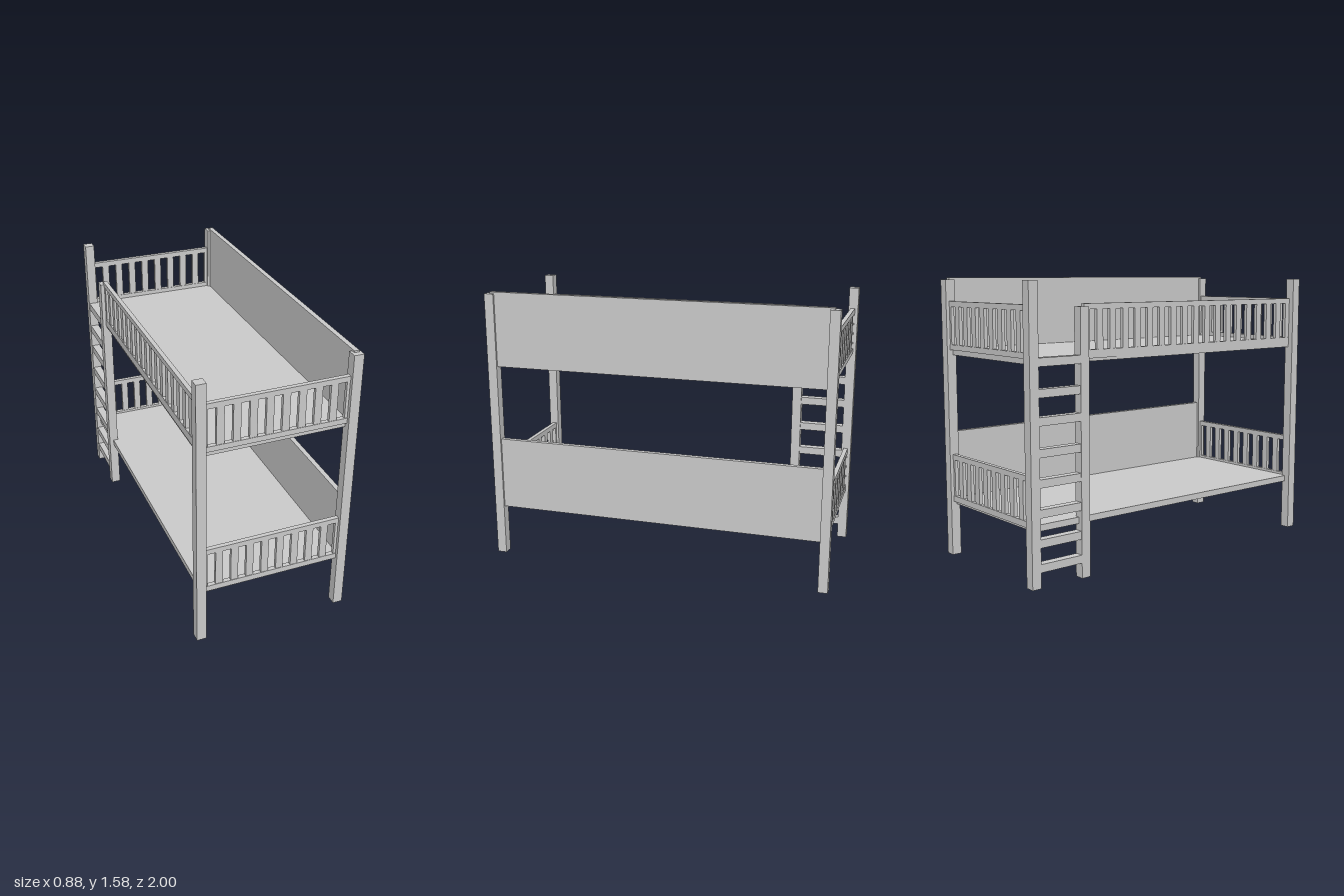
import * as THREE from 'three';

const material = new THREE.MeshStandardMaterial({ color: 0xcccccc, flatShading: true });

// Box given by its min and max along each axis
function box(parent, name, [x0, x1], [y0, y1], [z0, z1]) {
  const mesh = new THREE.Mesh(new THREE.BoxGeometry(x1 - x0, y1 - y0, z1 - z0), material);
  mesh.name = name;
  mesh.position.set((x0 + x1) / 2, (y0 + y1) / 2, (z0 + z1) / 2);
  parent.add(mesh);
  return mesh;
}

// Slatted rail along local x, centred on its own origin, with evenly spaced openings
function slattedRail(name, length, bottom, railTop, slatTop, top, gaps) {
  const rail = new THREE.Group();
  rail.name = name;
  const h = length / 2, t = 0.0125;
  box(rail, 'bottomRail', [-h, h], [bottom, railTop], [-t, t]);
  box(rail, 'topRail', [-h, h], [slatTop, top], [-t, t]);
  const slat = 0.041, pitch = (length - slat) / gaps;
  for (let i = 0; i <= gaps; i++) {
    const x = -h + i * pitch;
    box(rail, 'slat', [x, x + slat], [railTop, slatTop], [-t * 0.8, t * 0.8]);
  }
  return rail;
}

export function createModel() {
  const bed = new THREE.Group();
  bed.name = 'bunkBed';

  // Corner posts
  for (const [x0, x1, z0, z1] of [
    [-0.443, -0.388, 0.945, 1], [0.385, 0.44, 0.945, 1],
    [-0.435, -0.381, -1, -0.945], [0.385, 0.44, -1, -0.945],
  ]) box(bed, 'cornerPost', [x0, x1], [0, 1.57], [z0, z1]);

  // Two bunks: deck, solid side panel and slatted ends
  const bunks = [
    { name: 'lowerBunk', y: 0.295, deckTop: 0.33, panelTop: 0.715, rail: [0.312, 0.345, 0.555, 0.585] },
    { name: 'upperBunk', y: 1.15, deckTop: 1.185, panelTop: 1.58, rail: [1.18, 1.21, 1.42, 1.45] },
  ];
  for (const b of bunks) {
    const bunk = new THREE.Group();
    bunk.name = b.name;
    box(bunk, 'deck', [-0.41, 0.405], [b.y, b.deckTop], [-0.965, 0.965]);
    box(bunk, 'sidePanel', [0.4, 0.428], [b.y, b.panelTop], [-0.97, 0.97]);
    for (const s of [-1, 1]) {
      const end = slattedRail('endRail', 0.826, ...b.rail, 9);
      end.position.set(-0.003, 0, s * 0.97);
      bunk.add(end);
    }
    bed.add(bunk);
  }

  // Slatted guard on the ladder side of the upper bunk
  const guard = slattedRail('guardRail', 1.6, 1.165, 1.21, 1.42, 1.45, 18);
  guard.rotation.y = Math.PI / 2;
  guard.position.set(-0.403, 0, 0.152);
  bed.add(guard);

  // Ladder between its own post and the rear corner post
  const ladder = new THREE.Group();
  ladder.name = 'ladder';
  box(ladder, 'ladderPost', [-0.435, -0.381], [0, 1.435], [-0.685, -0.63]);
  for (const y of [0.105, 0.235, 0.391, 0.547, 0.703, 0.865, 1.008, 1.165])
    box(ladder, 'rung', [-0.432, -0.385], [y - 0.022, y + 0.022], [-0.95, -0.68]);
  bed.add(ladder);

  return bed;
}
